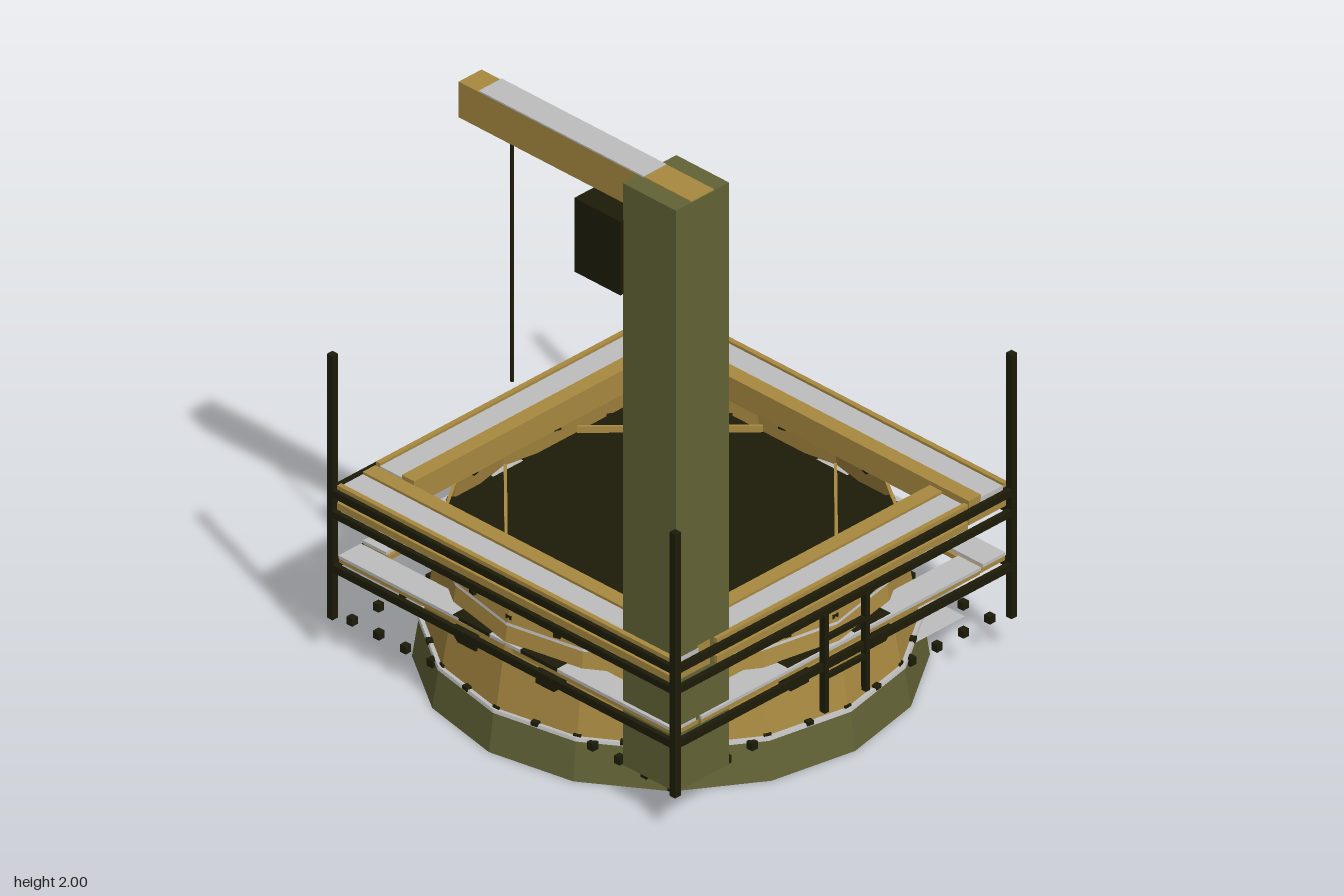
import * as THREE from 'three';

const SIDES = 16;

function makeMaterial(name, color) {
  const m = new THREE.MeshStandardMaterial({ color, side: THREE.DoubleSide });
  m.name = name;
  return m;
}

export function createModel() {
  const root = new THREE.Group();
  root.name = 'platformWithCrane';
  const tan = makeMaterial('tan', 0xa98941);
  const green = makeMaterial('oliveGreen', 0x626336);
  const grey = makeMaterial('lightGrey', 0xbebebe);
  const dark = makeMaterial('darkOlive', 0x1d1b08);

  function add(name, geometry, material, parent = root) {
    const mesh = new THREE.Mesh(geometry, material);
    mesh.name = name;
    parent.add(mesh);
    return mesh;
  }

  // Box given by its limits on each axis
  function box(name, [x0, x1], [y0, y1], [z0, z1], material, parent = root) {
    const mesh = add(name, new THREE.BoxGeometry(x1 - x0, y1 - y0, z1 - z0), material, parent);
    mesh.position.set((x0 + x1) / 2, (y0 + y1) / 2, (z0 + z1) / 2);
    return mesh;
  }

  // Open faceted band with a corner on each axis
  function band(name, r0, y0, r1, y1, material) {
    const g = new THREE.CylinderGeometry(r1, r0, y1 - y0, SIDES, 1, true).toNonIndexed();
    g.computeVertexNormals();
    add(name, g, material).position.y = (y0 + y1) / 2;
  }

  // Flat sheet facing up
  function sheet(name, geometry, y, material) {
    const mesh = add(name, geometry, material);
    mesh.rotation.x = -Math.PI / 2;
    mesh.position.y = y;
  }

  // Base ring, drum wall and thin trim bands
  band('baseRing', 0.71, 0, 0.692, 0.12, green);
  band('baseInnerWall', 0.71, 0, 0.55, 0.11, green);
  band('drumWall', 0.682, 0.12, 0.622, 0.48, tan);
  band('baseTrim', 0.695, 0.12, 0.692, 0.13, grey);
  band('drumTrim', 0.643, 0.38, 0.641, 0.388, grey);
  sheet('baseLip', new THREE.RingGeometry(0.6, 0.693, SIDES), 0.129, grey);
  sheet('drumRim', new THREE.RingGeometry(0.612, 0.622, SIDES), 0.48, tan);

  // Bottom plate with clipped front corners
  const plateShape = new THREE.Shape([
    [-0.57, 0.57], [0.57, 0.57], [0.57, -0.3], [0.3, -0.57], [-0.3, -0.57], [-0.57, -0.3],
  ].map(([x, y]) => new THREE.Vector2(x, y)));
  sheet('bottomPlate', new THREE.ShapeGeometry(plateShape), 0.122, grey);
  sheet('bottomPan', new THREE.CircleGeometry(0.53, 8), 0.112, green);

  // Bolts in the bottom plate, around the base lip and around the drum
  const bolts = new THREE.Group();
  bolts.name = 'bolts';
  root.add(bolts);
  const boltGeometry = new THREE.BoxGeometry(0.022, 0.024, 0.022);
  for (let i = -6; i <= 6; i++) {
    for (let j = -6; j <= 6; j++) {
      const far = Math.max(Math.abs(i), Math.abs(j));
      if (far < 3 || far === 5) continue;
      add('plateBolt', boltGeometry, dark, bolts).position.set(i * 0.103, 0.116, j * 0.103);
    }
  }
  function boltCircle(name, count, radius, y) {
    for (let i = 0; i < count; i++) {
      const a = (i / count) * Math.PI * 2;
      const b = add(name, boltGeometry, dark, bolts);
      b.position.set(Math.sin(a) * radius, y, Math.cos(a) * radius);
      b.rotation.y = a;
      b.scale.y = 0.5;
    }
  }
  boltCircle('lipBolt', 32, 0.673, 0.13);
  boltCircle('drumBolt', 24, 0.624, 0.402);

  // Floor whose corners poke through the drum, with diagonal braces
  box('floor', [-0.5, 0.5], [0.415, 0.44], [-0.5, 0.5], dark);
  for (const sx of [-1, 1]) {
    for (const sz of [-1, 1]) {
      const brace = add('floorBrace', new THREE.BoxGeometry(0.509, 0.02, 0.009), tan);
      brace.position.set(sx * 0.32, 0.45, sz * 0.32);
      brace.rotation.y = sx * sz * Math.PI / 4;
    }
  }

  // Brackets on the four faces of the drum
  const footShape = new THREE.Shape([
    [-0.045, 0.29], [0.045, 0.29], [0.045, 0.265], [0.025, 0.245], [-0.045, 0.245],
  ].map(([x, y]) => new THREE.Vector2(x, y)));
  const footGeometry = new THREE.ExtrudeGeometry(footShape, { depth: 0.055, bevelEnabled: false });
  for (let k = 0; k < 4; k++) {
    const side = new THREE.Group();
    side.name = 'brackets';
    side.rotation.y = k * Math.PI / 2;
    root.add(side);
    for (const s of [-1, 1]) {
      const foot = add('bracket', footGeometry, dark, side);
      foot.position.set(s * 0.16, 0, s < 0 ? 0.645 : 0.59);
      // Turned half round so that both slanted corners mirror each other
      if (s < 0) foot.rotation.y = Math.PI;
      const top = box('bracketTop', [-0.07, 0.07], [0.318, 0.33], [0.6, 0.648], dark, side);
      top.position.x = s * 0.13;
    }
  }

  // One walkway: plank, outer and inner edging and underside, laid along x at +z
  function walkway(y, half, parent) {
    box('plank', [-half, half], [y + 0.022, y + 0.07], [0.55, 0.637], grey, parent);
    box('outerEdge', [-half, half], [y + 0.062, y + 0.078], [0.637, 0.653], tan, parent);
    box('innerEdge', [-half, half], [y, y + 0.078], [0.505, 0.553], tan, parent);
    box('underside', [-half, half], [y, y + 0.022], [0.553, 0.653], tan, parent);
  }
  function lowerWalkway(half, parent) {
    box('lowerPlank', [-half, half], [0.318, 0.328], [0.56, 0.648], grey, parent);
    box('lowerUnderside', [-half, half], [0.304, 0.318], [0.55, 0.645], tan, parent);
  }

  // Walkways and rails on four sides
  for (let k = 0; k < 4; k++) {
    const side = new THREE.Group();
    side.name = 'walkwaySide';
    side.rotation.y = k * Math.PI / 2;
    if (k !== 3) side.position.x = k === 1 ? 0.008 : 0.004;
    root.add(side);
    const half = k % 2 ? 0.49 : 0.645;
    walkway(0.478, half, side);
    lowerWalkway(k % 2 ? 0.545 : 0.645, side);
    for (const [y0, y1] of [[0.52, 0.543], [0.455, 0.476], [0.28, 0.304]]) {
      box('rail', [-0.666, 0.666], [y0, y1], [0.652, 0.667], dark, side);
    }
  }

  // Corner posts
  for (const x of [-0.656, 0.664]) {
    for (const z of [-0.656, 0.656]) {
      box('cornerPost', [x - 0.011, x + 0.011], [0.125, 0.975], [z - 0.011, z + 0.011], dark);
    }
  }

  // Ladder on the +x side
  const ladder = new THREE.Group();
  ladder.name = 'ladder';
  root.add(ladder);
  for (const z of [-0.08, 0.08]) {
    box('ladderStile', [0.66, 0.68], [0.145, 0.46], [z - 0.008, z + 0.008], dark, ladder);
  }
  for (const y of [0.257, 0.38]) {
    box('ladderRung', [0.664, 0.678], [y - 0.007, y + 0.007], [-0.08, 0.08], dark, ladder);
  }

  // Crane: column, arm with cover plate, motor box and cable
  const crane = new THREE.Group();
  crane.name = 'crane';
  root.add(crane);
  box('column', [0.445, 0.648], [0.12, 1.995], [0.43, 0.637], green, crane);
  box('columnCap', [0.465, 0.648], [1.995, 1.999], [0.488, 0.577], tan, crane);
  box('arm', [-0.248, 0.445], [1.88, 1.995], [0.488, 0.577], tan, crane);
  box('armCover', [-0.17, 0.465], [1.995, 2], [0.488, 0.577], grey, crane);
  box('motorBox', [0.27, 0.447], [1.64, 1.878], [0.418, 0.65], dark, crane);
  const cable = add('cable', new THREE.CylinderGeometry(0.005, 0.005, 0.8, 6), dark, crane);
  cable.position.set(-0.086, 1.48, 0.533);

  return root;
}
